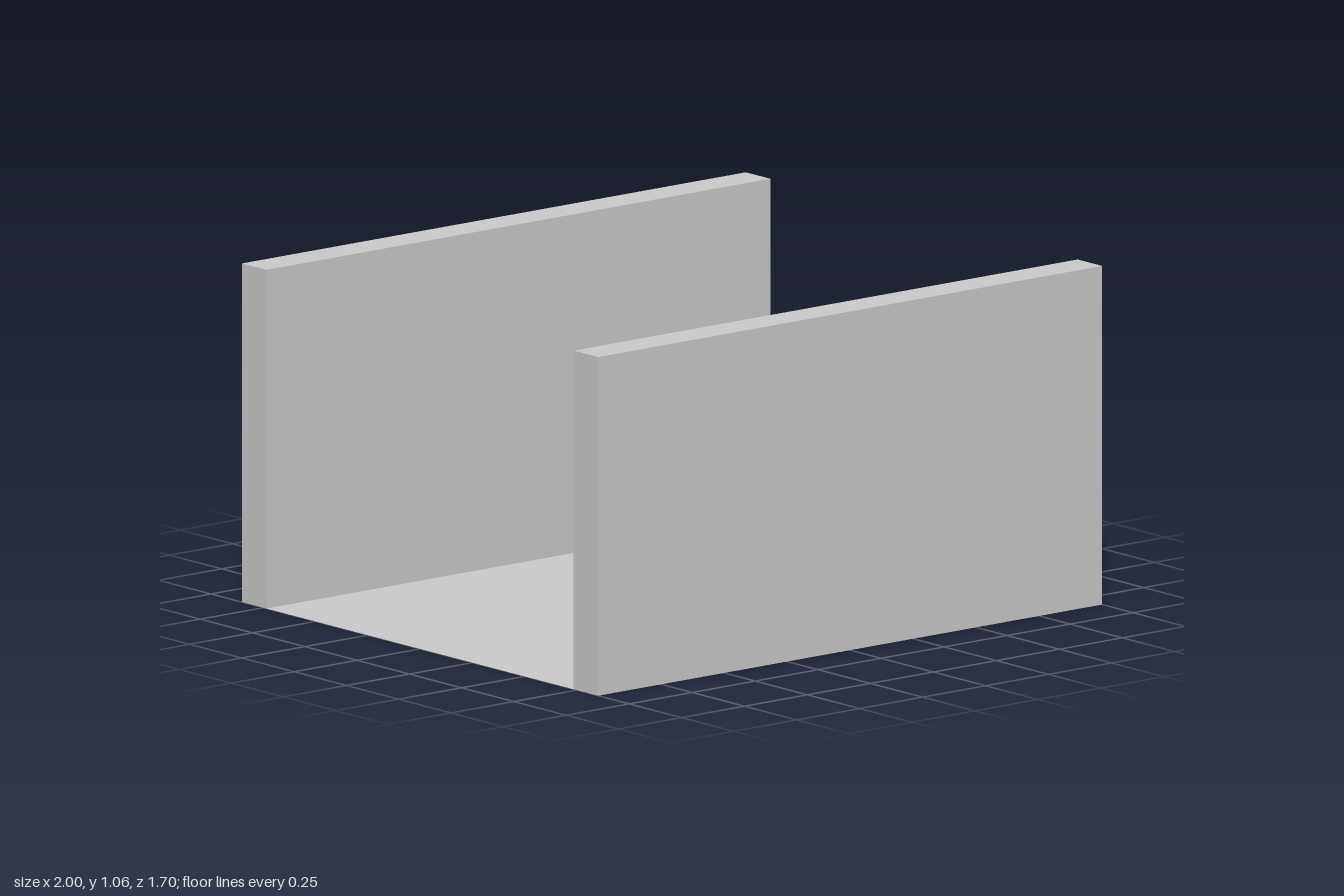
import * as THREE from 'three';

const LENGTH = 2;
const DEPTH = 1.704;
const HEIGHT = 1.06;
const WALL = 0.117;

export function createModel() {
  const model = new THREE.Group();
  model.name = 'channel';
  const material = new THREE.MeshStandardMaterial({ color: 0xcccccc, flatShading: true });
  const sheetMaterial = material.clone();
  sheetMaterial.side = THREE.DoubleSide;

  // Floor: a sheet without thickness, running under both walls
  const floor = new THREE.Mesh(new THREE.PlaneGeometry(LENGTH, DEPTH).rotateX(-Math.PI / 2), sheetMaterial);
  floor.name = 'floor';
  model.add(floor);

  // Matching upright walls along the front and back edges
  const wallGeometry = new THREE.BoxGeometry(LENGTH, HEIGHT, WALL);
  for (const [name, side] of [['frontWall', 1], ['backWall', -1]]) {
    const wall = new THREE.Mesh(wallGeometry, material);
    wall.name = name;
    wall.position.set(0, HEIGHT / 2, side * (DEPTH - WALL) / 2);
    model.add(wall);
  }

  return model;
}
